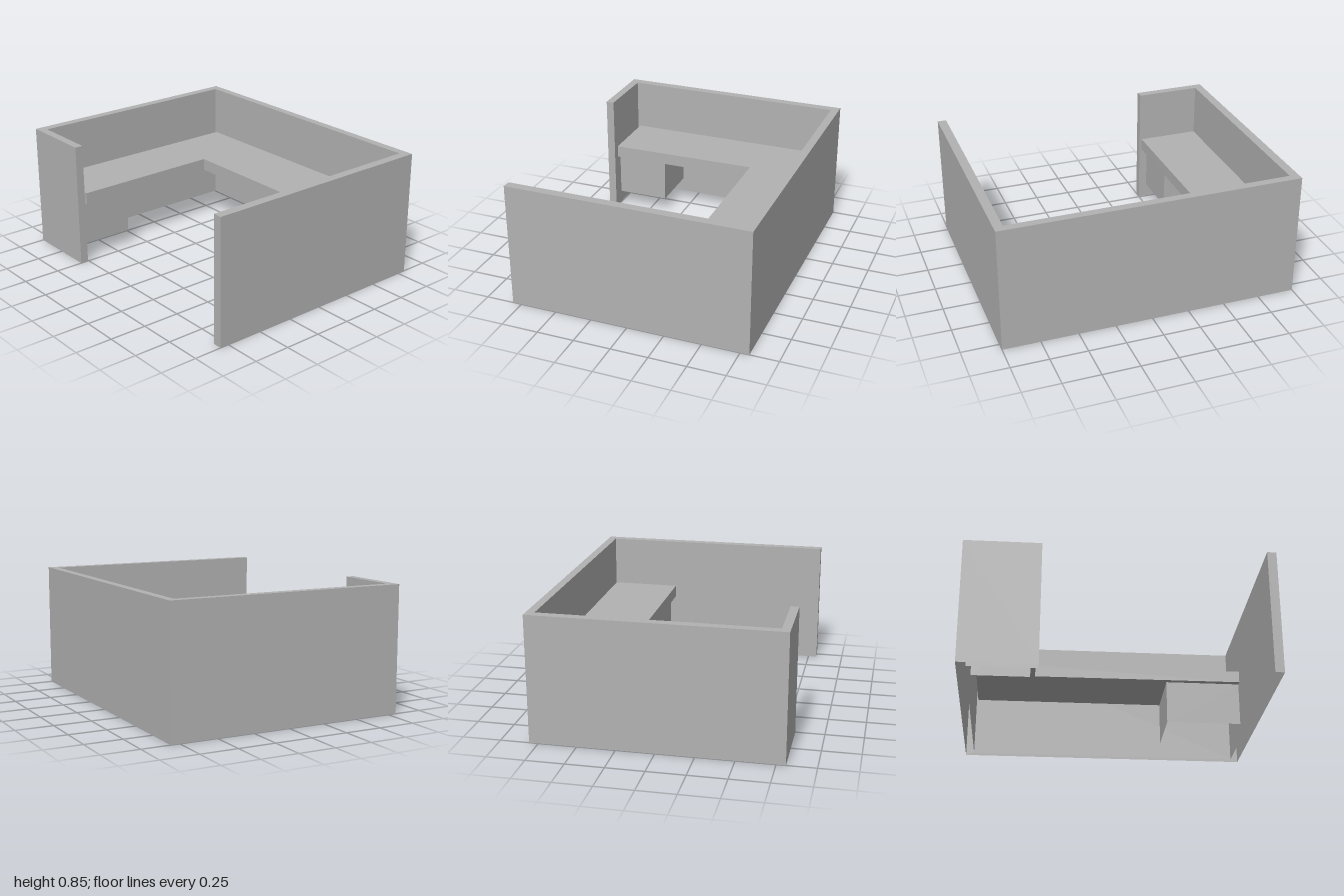
import * as THREE from 'three';

// Upright slab from a floor outline of [x, z] points
function slab(outline, y, height) {
  const shape = new THREE.Shape(outline.map(([x, z]) => new THREE.Vector2(x, -z)));
  const geometry = new THREE.ExtrudeGeometry(shape, { depth: height, bevelEnabled: false });
  return geometry.rotateX(-Math.PI / 2).translate(0, y, 0);
}

// Leaves the underside open by dropping the triangles that lie on the floor
function openBottom(geometry) {
  const p = geometry.attributes.position;
  const kept = [];
  for (let i = 0; i < p.count; i += 3) {
    const onFloor = [0, 1, 2].every((k) => Math.abs(p.getY(i + k)) < 1e-5);
    if (onFloor) continue;
    for (let k = 0; k < 3; k++) kept.push(p.getX(i + k), p.getY(i + k), p.getZ(i + k));
  }
  const open = new THREE.BufferGeometry();
  open.setAttribute('position', new THREE.Float32BufferAttribute(kept, 3));
  open.computeVertexNormals();
  return open;
}

export function createModel() {
  const group = new THREE.Group();
  const grey = new THREE.MeshStandardMaterial({ color: 0xb2b2b2, side: THREE.DoubleSide });
  grey.name = 'panel grey';

  const add = (name, geometry, parent = group) => {
    const mesh = new THREE.Mesh(geometry, grey);
    mesh.name = name;
    parent.add(mesh);
    return mesh;
  };

  // Partition running round three sides with a short return at the front
  add('partitionWalls', openBottom(slab([
    [-1, -0.81], [-1, 0.81], [-0.5, 0.81], [-0.5, 0.755], [-0.94, 0.755],
    [-0.94, -0.755], [0.94, -0.755], [0.94, 0.81], [1, 0.81], [1, -0.81],
  ], 0, 0.845)));

  // L-shaped worktop
  add('desktop', slab([
    [-0.93, -0.755], [-0.93, 0.735], [-0.508, 0.735], [-0.518, -0.295],
    [0.94, -0.285], [0.94, -0.755],
  ], 0.415, 0.083));

  // Two drawer pedestals: only a front and a side panel each, open to the walls
  const pedestal = (name, xFace, x0, x1, zFace, z0, z1) => {
    const unit = new THREE.Group();
    unit.name = name;
    const height = 0.305, y = 0.11 + height / 2;
    const across = new THREE.PlaneGeometry(x1 - x0, height);
    if (zFace < 0.2 && name === 'leftPedestal') across.rotateY(Math.PI);
    add('crossPanel', across.translate((x0 + x1) / 2, y, zFace), unit);
    const side = new THREE.PlaneGeometry(z1 - z0, height).rotateY(xFace < 0 ? Math.PI / 2 : -Math.PI / 2);
    add('sidePanel', side.translate(xFace, y, (z0 + z1) / 2), unit);
    group.add(unit);
  };
  pedestal('rightPedestal', 0.42, 0.42, 0.94, -0.325, -0.755, -0.325);
  pedestal('leftPedestal', -0.55, -0.93, -0.55, 0.375, 0.375, 0.735);

  return group;
}
